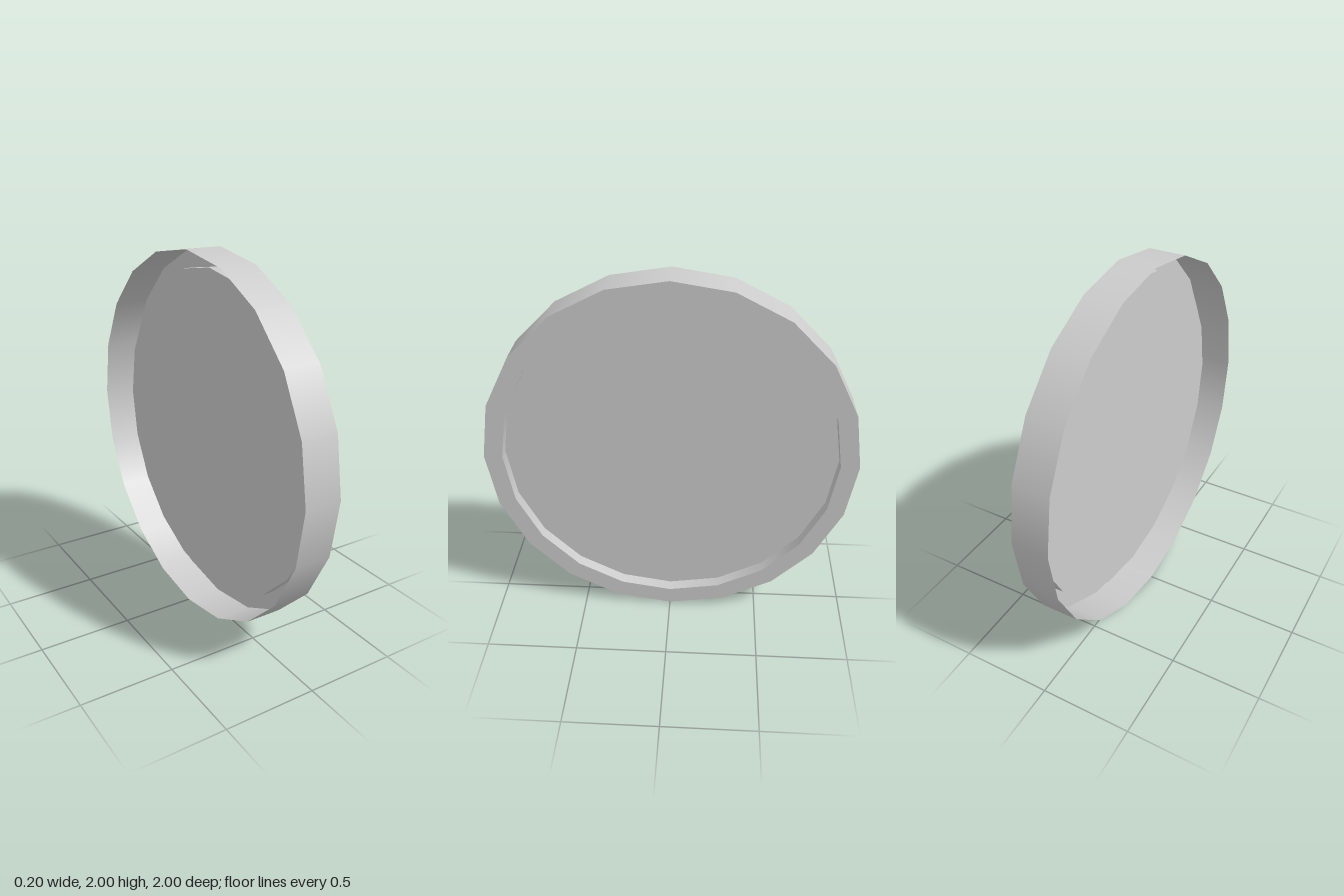
import * as THREE from 'three';

const SIDES = 20;
const RADIUS = 1, INNER = 0.9;
const HALF = 0.1;       // half the thickness along x
const PANEL_X = 0.033;  // plane of the sunken panel

export function createModel() {
  const group = new THREE.Group();
  group.name = 'recessedDisc';
  const material = new THREE.MeshStandardMaterial({ color: 0xcccccc, side: THREE.DoubleSide });

  const add = (name, geometry, x) => {
    const mesh = new THREE.Mesh(geometry, material);
    mesh.name = name;
    mesh.position.set(x, RADIUS, 0);
    group.add(mesh);
  };

  // open-ended wall running along x, and flat faces looking towards +x
  const wall = (r, width) => new THREE.CylinderGeometry(r, r, width, SIDES, 1, true).rotateZ(-Math.PI / 2);
  const facing = (geometry) => geometry.rotateY(Math.PI / 2);

  // outer band, open at the -x end
  add('outerBand', wall(RADIUS, 2 * HALF), 0);

  // flat rim around the recess
  add('rim', facing(new THREE.RingGeometry(INNER, RADIUS, SIDES)), HALF);

  // short wall down to the sunken panel
  add('recessWall', wall(INNER, HALF - PANEL_X), (HALF + PANEL_X) / 2);
  add('panel', facing(new THREE.CircleGeometry(INNER, SIDES)), PANEL_X);

  return group;
}
